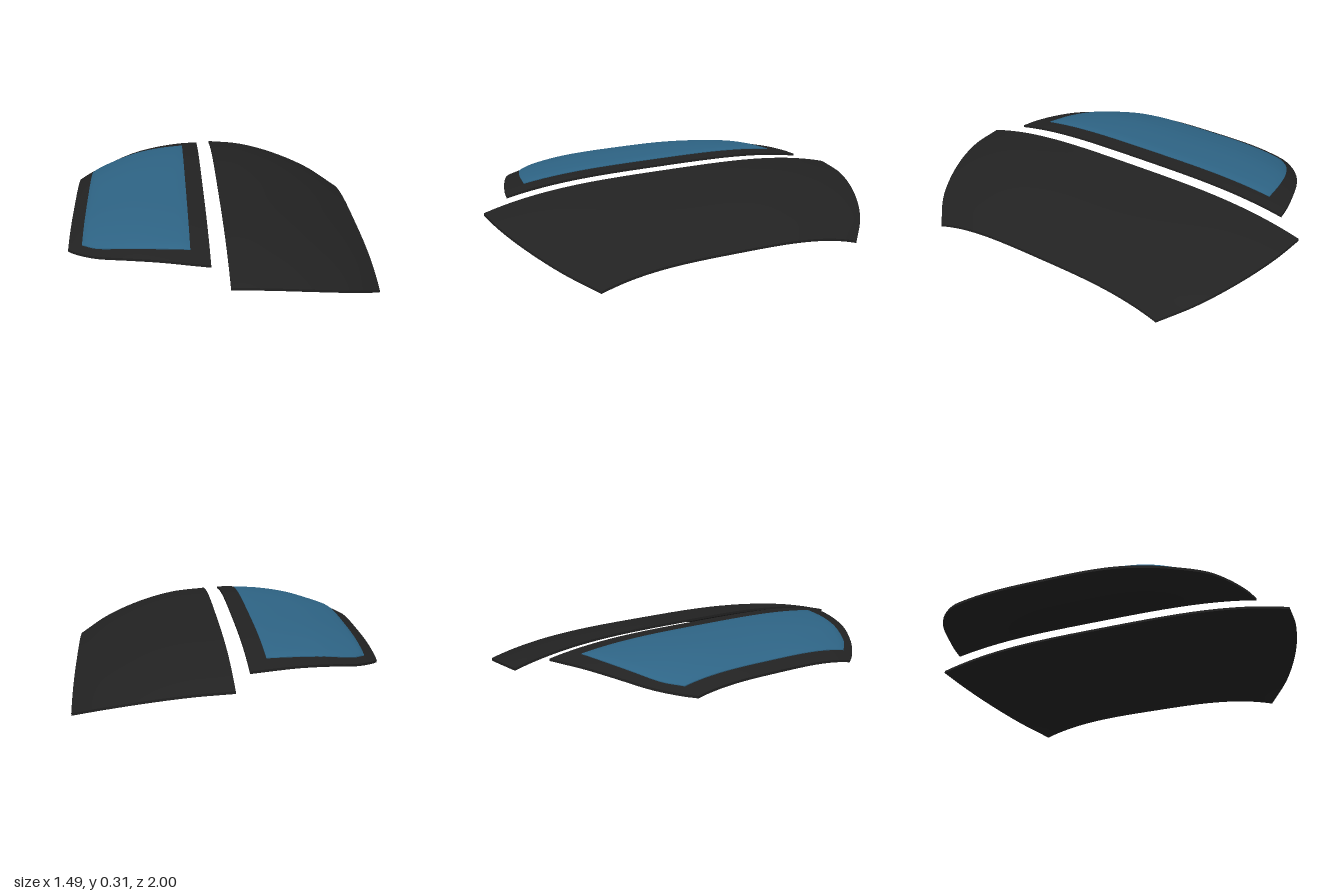
import * as THREE from 'three';
import { mergeGeometries } from 'three/addons/utils/BufferGeometryUtils.js';

// Smooth grid patch; fn(a, b) gives a point, its front faces along a x b
function patch(fn, na, nb) {
  const pos = [], index = [];
  for (let j = 0; j <= nb; j++) {
    for (let i = 0; i <= na; i++) pos.push(...fn(i / na, j / nb).toArray());
  }
  for (let j = 0; j < nb; j++) {
    for (let i = 0; i < na; i++) {
      const p = j * (na + 1) + i, q = p + na + 1;
      index.push(p, p + 1, q + 1, p, q + 1, q);
    }
  }
  const geo = new THREE.BufferGeometry();
  geo.setAttribute('position', new THREE.Float32BufferAttribute(pos, 3));
  geo.setIndex(index);
  geo.computeVertexNormals();
  return geo;
}

// Domed shell from stations [x, crest height, end height, half length]
function shell(stations, thickness, lift = () => 0) {
  const crest = new THREE.CatmullRomCurve3(stations.map(([x, y]) => new THREE.Vector3(x, y, 0)));
  const end = new THREE.CatmullRomCurve3(stations.map(([x, , y, z]) => new THREE.Vector3(x, y, z)));
  const ease = (t) => 0.5 - 0.5 * Math.cos(Math.PI * t); // finer near the edges
  const base = (a, b) => {
    const u = ease(a), v = 2 * ease(b) - 1;
    const c = crest.getPoint(u), e = end.getPoint(u);
    const k = Math.pow(Math.abs(v), 3.3);
    return new THREE.Vector3(c.x + (e.x - c.x) * k, c.y + (e.y - c.y) * k, e.z * v);
  };
  const top = (a, b) => {
    const p = base(a, b);
    p.y += lift(ease(a), 2 * ease(b) - 1);
    return p;
  };
  const under = (a, b) => {
    const p = base(a, b);
    p.y -= thickness;
    return p;
  };
  const wall = (a, b, h) => under(a, b).lerp(top(a, b), h);
  const nu = 32, nv = 56;
  return mergeGeometries([
    patch((a, b) => top(a, 1 - b), nu, nv),
    patch(under, nu, nv),
    patch((a, h) => wall(1 - a, 0, h), nu, 1),
    patch((a, h) => wall(a, 1, h), nu, 1),
    patch((a, h) => wall(1, 1 - a, h), nv, 1),
    patch((a, h) => wall(0, a, h), nv, 1),
  ]);
}

export function createModel() {
  const black = new THREE.MeshStandardMaterial({ color: 0x222222 });
  black.name = 'black';
  const blue = new THREE.MeshStandardMaterial({ color: 0x2e6485 });
  blue.name = 'blue glass';
  const model = new THREE.Group();
  model.name = 'curvedPanels';
  const add = (name, geometry, material) => {
    const mesh = new THREE.Mesh(geometry, material);
    mesh.name = name;
    model.add(mesh);
  };

  // Large plain panel
  add('solidPanel', shell([
    [0.01, 0.285, 0.2, 1.0],
    [0.2, 0.265, 0.184, 0.986],
    [0.4, 0.222, 0.143, 0.93],
    [0.6, 0.15, 0.08, 0.828],
    [0.745, 0.08, 0.012, 0.7],
  ], 0.012), black);

  // Smaller panel that frames the glass
  add('framePanel', shell([
    [-0.745, 0.195, 0.162, 0.475],
    [-0.7, 0.216, 0.172, 0.535],
    [-0.6, 0.25, 0.193, 0.63],
    [-0.45, 0.281, 0.226, 0.727],
    [-0.3, 0.294, 0.242, 0.79],
    [-0.16, 0.297, 0.245, 0.836],
    [-0.07, 0.294, 0.242, 0.855],
  ], 0.012), black);

  // Raised glass with softly rounded borders
  const soft = (d) => 1 - Math.pow(1 - Math.min(1, d / 0.05), 2);
  const pillow = (u, v) => 0.003 + 0.006 *
    soft(u * 0.515) * soft((1 - u) * 0.515) * soft((1 - Math.abs(v)) * 0.65);
  add('glass', shell([
    [-0.675, 0.226, 0.194, 0.5],
    [-0.6, 0.25, 0.208, 0.575],
    [-0.45, 0.281, 0.242, 0.657],
    [-0.3, 0.294, 0.259, 0.705],
    [-0.16, 0.297, 0.264, 0.732],
  ], 0.005, pillow), blue);

  return model;
}
